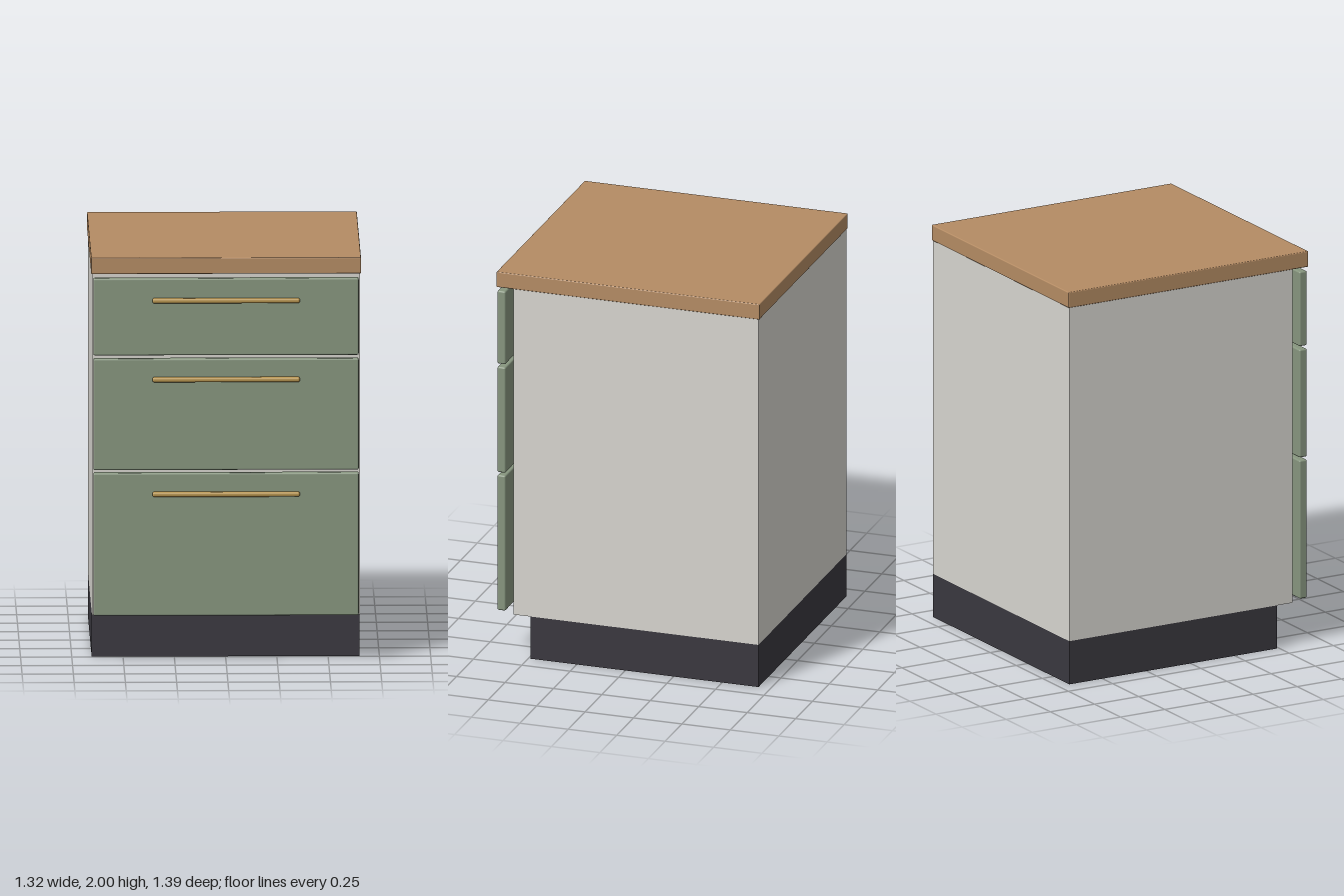
import * as THREE from 'three';
import { RoundedBoxGeometry } from 'three/addons/geometries/RoundedBoxGeometry.js';

const paint = (name, color) => {
  const m = new THREE.MeshStandardMaterial({ color });
  m.name = name;
  return m;
};

export function createModel() {
  const wood = paint('wood', 0xb58c64);
  const green = paint('sage green', 0x87967f);
  const white = paint('off white', 0xd8d6d0);
  const dark = paint('charcoal', 0x3a383f);
  const brass = paint('brass', 0xb8954f);

  const group = new THREE.Group();
  group.name = 'drawerCabinet';

  // Box given by its extents; an edge radius rounds it slightly
  const addBox = (name, material, [x0, x1], [y0, y1], [z0, z1], radius = 0) => {
    const size = [x1 - x0, y1 - y0, z1 - z0];
    const geometry = radius
      ? new RoundedBoxGeometry(...size, 3, radius)
      : new THREE.BoxGeometry(...size);
    const mesh = new THREE.Mesh(geometry, material);
    mesh.name = name;
    mesh.position.set((x0 + x1) / 2, (y0 + y1) / 2, (z0 + z1) / 2);
    group.add(mesh);
  };

  // Recessed base, body and worktop
  addBox('plinth', dark, [-0.653, 0.653], [0, 0.22], [-0.688, 0.488]);
  addBox('carcass', white, [-0.653, 0.653], [0.22, 1.92], [-0.688, 0.577]);
  addBox('worktop', wood, [-0.658, 0.658], [1.92, 2], [-0.694, 0.664], 0.005);

  // Three drawer fronts, each with a bar handle
  const drawers = [
    { name: 'bottom', y: [0.23, 0.935], handleY: 0.833 },
    { name: 'middle', y: [0.95, 1.5], handleY: 1.4 },
    { name: 'top', y: [1.517, 1.897], handleY: 1.79 },
  ];
  for (const { name, y, handleY } of drawers) {
    addBox(`${name}DrawerFront`, green, [-0.647, 0.647], y, [0.62, 0.663], 0.008);
    addBox(`${name}Handle`, brass, [-0.36, 0.36],
      [handleY - 0.012, handleY + 0.012], [0.66, 0.694], 0.01);
  }
  return group;
}
